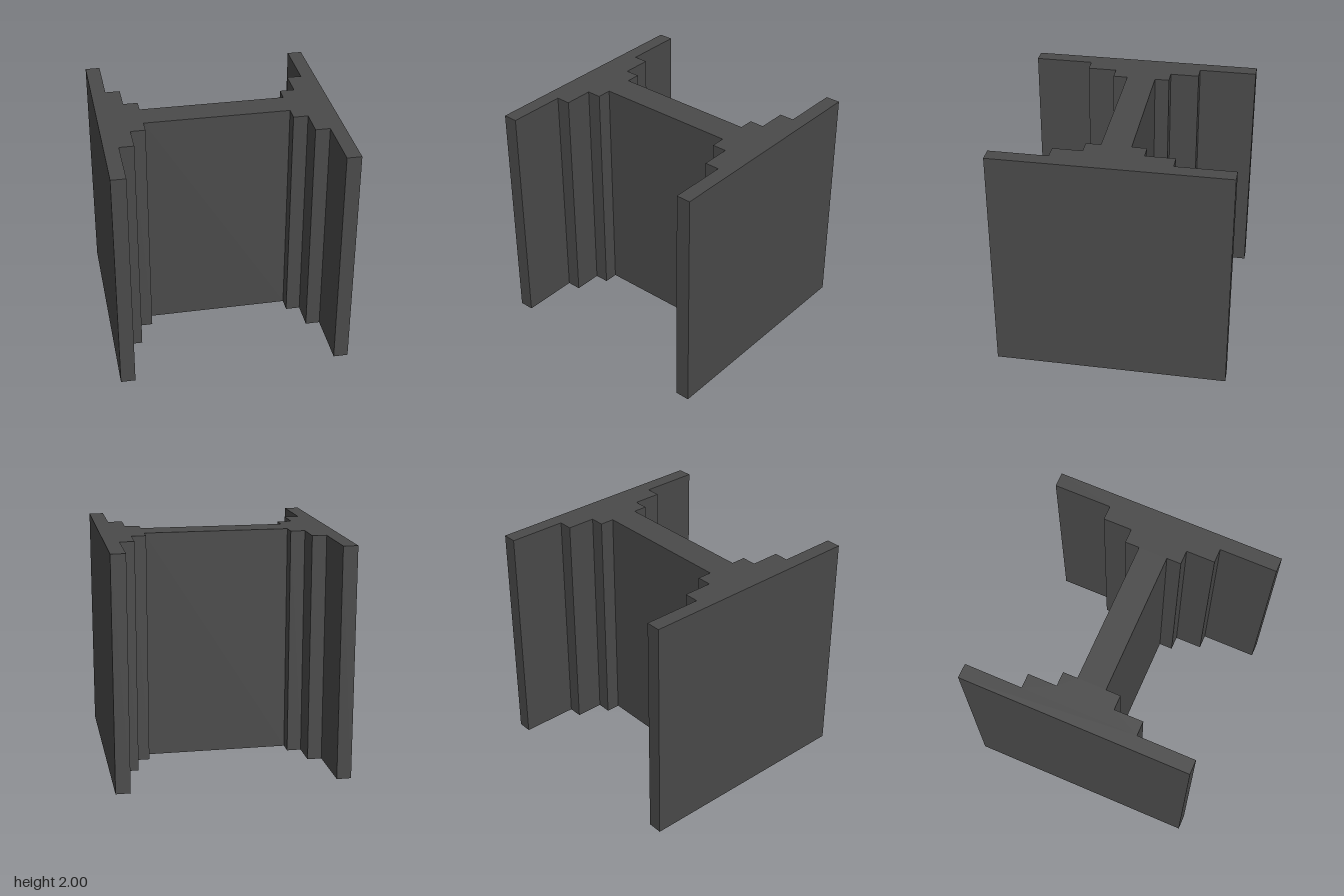
import * as THREE from 'three';

export function createModel() {
  const group = new THREE.Group();
  group.name = 'steppedBeam';

  const darkGrey = new THREE.MeshStandardMaterial({ color: 0x4a4a4a });
  darkGrey.name = 'darkGrey';

  // One quarter of the stepped I-shaped section, from web to flange edge
  const quarter = [
    [0.625, 0.125], [0.625, 0.25], [0.75, 0.25], [0.75, 0.5],
    [0.875, 0.5], [0.875, 1], [1, 1],
  ];
  const mirror = (sx, sy) => quarter.map(([x, y]) => new THREE.Vector2(x * sx, y * sy));

  // Mirror the quarter around the section, counter-clockwise
  const section = new THREE.Shape([
    ...mirror(1, 1).reverse(),
    ...mirror(-1, 1),
    ...mirror(-1, -1).reverse(),
    ...mirror(1, -1),
  ]);

  // Extrude upwards, standing on y = 0
  const geometry = new THREE.ExtrudeGeometry(section, { depth: 2, bevelEnabled: false });
  geometry.rotateX(-Math.PI / 2);

  const beam = new THREE.Mesh(geometry, darkGrey);
  beam.name = 'beam';
  group.add(beam);
  return group;
}
